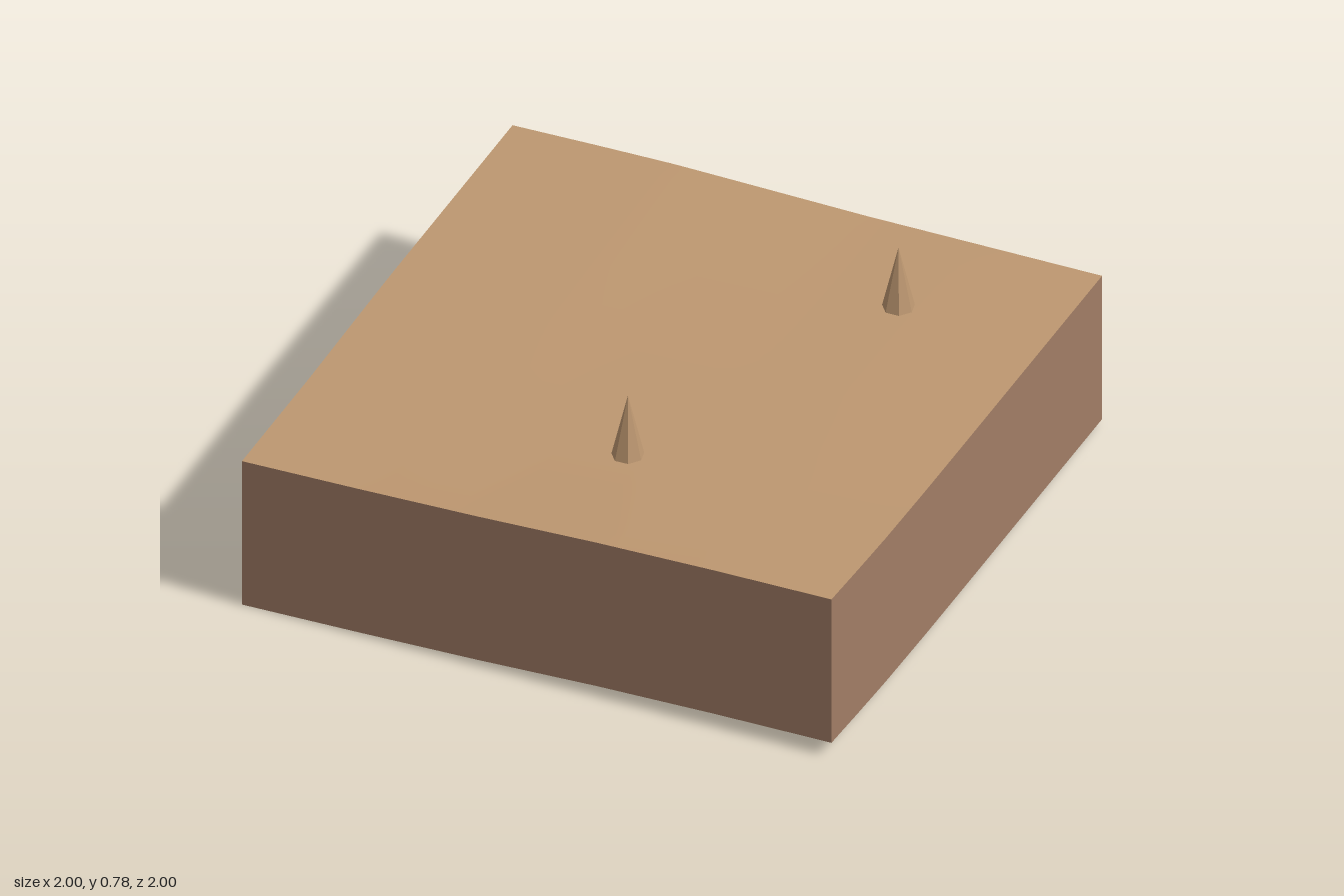
import * as THREE from 'three';

// Piecewise-linear lookup through [position, height] pairs
function lookup(points, t) {
  for (let i = 1; i < points.length; i++) {
    const [a, ha] = points[i - 1];
    const [b, hb] = points[i];
    if (t <= b + 1e-6) return ha + (hb - ha) * (t - a) / (b - a);
  }
  return points[points.length - 1][1];
}

// Ground height along each edge of the terrain block
const front = [[-1, 0.535], [-0.6, 0.544], [-0.2, 0.556], [0.2, 0.573], [0.6, 0.583], [1, 0.588]];
const back = [[-1, 0.549], [-0.7, 0.556], [-0.45, 0.56], [-0.2, 0.557], [0.2, 0.552], [1, 0.556]];
const right = [[-1, 0.556], [0, 0.56], [0.3, 0.562], [0.6, 0.568], [0.8, 0.577], [1, 0.588]];
const left = [[-1, 0.549], [-0.1, 0.549], [0.2, 0.543], [0.5, 0.536], [1, 0.535]];
const DEPTH = 0.535;

// Blend the four edge curves into one gently rolling surface
function ground(x, z) {
  const u = (x + 1) / 2, v = (z + 1) / 2;
  const alongX = (1 - v) * lookup(back, x) + v * lookup(front, x);
  const alongZ = (1 - u) * lookup(left, z) + u * lookup(right, z);
  const corners = (1 - v) * ((1 - u) * 0.549 + u * 0.556) + v * ((1 - u) * 0.535 + u * 0.588);
  return alongX + alongZ - corners;
}

export function createModel() {
  const sand = new THREE.MeshStandardMaterial({ color: 0xbe9871, side: THREE.DoubleSide });
  sand.name = 'sand';
  const earth = new THREE.MeshStandardMaterial({ color: 0xa17d66, side: THREE.DoubleSide });
  earth.name = 'earth';
  const stone = new THREE.MeshStandardMaterial({ color: 0xbe9871, flatShading: true });
  stone.name = 'spikeSand';

  const model = new THREE.Group();
  model.name = 'terrainBlock';
  const add = (name, geometry, material) => {
    const mesh = new THREE.Mesh(geometry, material);
    mesh.name = name;
    model.add(mesh);
    return mesh;
  };

  // Rolling top surface
  const top = new THREE.PlaneGeometry(2, 2, 30, 30).rotateX(-Math.PI / 2);
  const p = top.attributes.position;
  for (let i = 0; i < p.count; i++) p.setY(i, ground(p.getX(i), p.getZ(i)));
  top.computeVertexNormals();
  add('ground', top, sand);

  // Four skirt walls of constant depth, open underneath
  ['frontWall', 'leftWall', 'backWall', 'rightWall'].forEach((name, side) => {
    const wall = new THREE.PlaneGeometry(2, 1, 30, 1).translate(0, 0, 1).rotateY(side * Math.PI / 2);
    const w = wall.attributes.position;
    for (let i = 0; i < w.count; i++) {
      const h = ground(w.getX(i), w.getZ(i));
      w.setY(i, w.getY(i) > 0 ? h : h - DEPTH);
    }
    add(name, wall, earth);
  });

  // Two seven-sided spikes standing on the ground
  [['frontSpike', 0.08, 0.5], ['backSpike', 0.5, -0.585]].forEach(([name, x, z]) => {
    const base = ground(x, z) - 0.005;
    const height = 0.777 - base;
    const spike = add(name, new THREE.ConeGeometry(0.053, height, 7), stone);
    spike.position.set(x, base + height / 2, z);
    spike.rotation.y = Math.PI;
  });

  return model;
}
